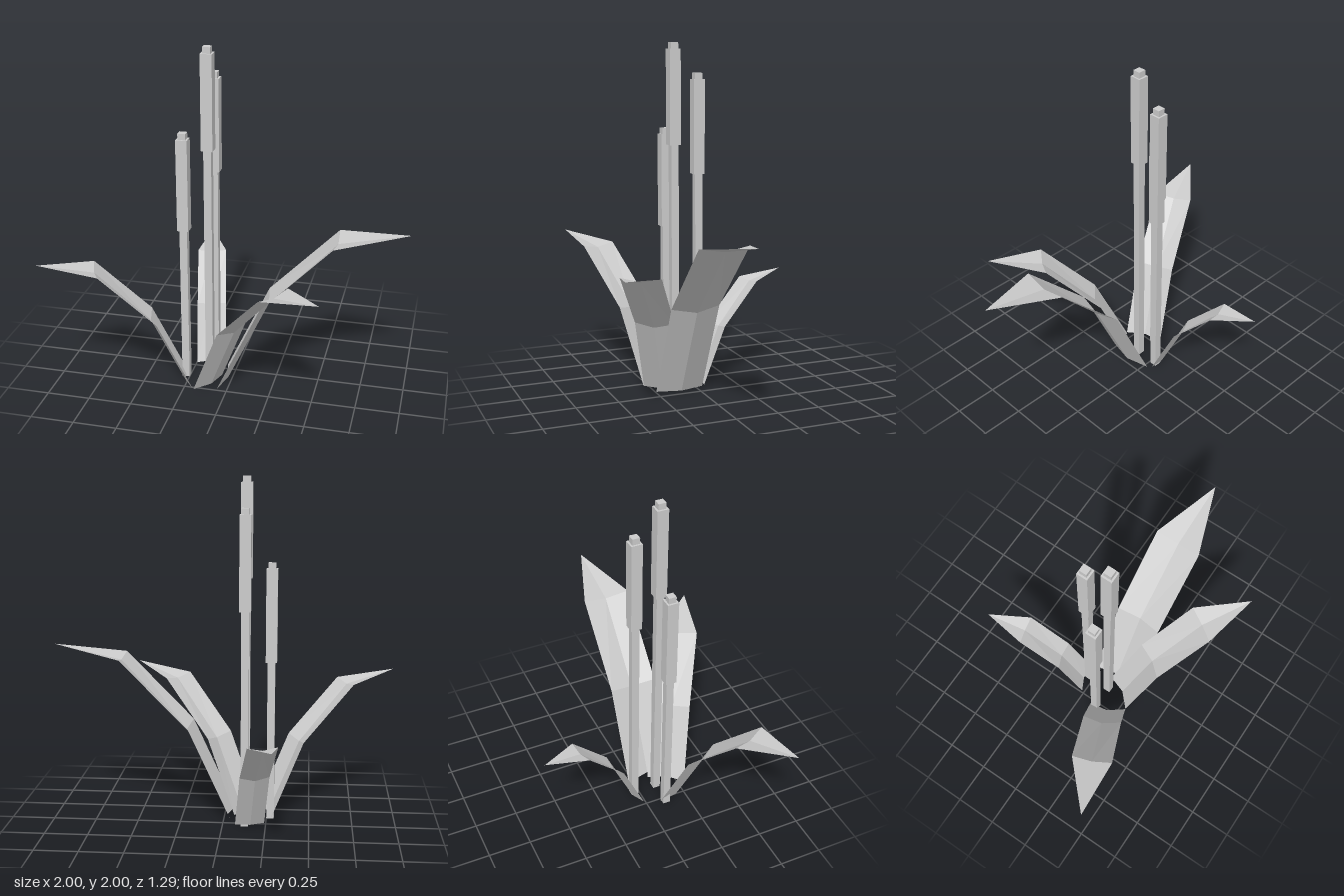
import * as THREE from 'three';

const stalkMaterial = new THREE.MeshStandardMaterial({ color: 0xcccccc, flatShading: true });
const leafMaterial = new THREE.MeshStandardMaterial({
  color: 0xcccccc, flatShading: true, side: THREE.DoubleSide,
});

// Folded leaf growing along +x: creased strip of three stations, ending in a point
function leafGeometry() {
  const half = 0.143;
  // [edge x, edge y, crease x, crease y]
  const stations = [
    [-0.035, 0, 0, 0],
    [0.215, 0.545, 0.24, 0.52],
    [0.612, 0.953, 0.622, 0.93],
  ];
  const tip = [1.015, 1.018, 0];
  const rows = stations.map(([ex, ey, cx, cy]) => [[ex, ey, -half], [cx, cy, 0], [ex, ey, half]]);
  const positions = [];
  const triangle = (...points) => points.forEach((p) => positions.push(...p));
  for (let side = 0; side < 2; side++) {
    for (let i = 0; i < rows.length - 1; i++) {
      const a = rows[i][side], b = rows[i][side + 1];
      const c = rows[i + 1][side + 1], d = rows[i + 1][side];
      triangle(a, b, c);
      triangle(a, c, d);
    }
    triangle(rows[2][side], rows[2][side + 1], tip);
  }
  const geometry = new THREE.BufferGeometry();
  geometry.setAttribute('position', new THREE.Float32BufferAttribute(positions, 3));
  geometry.computeVertexNormals();
  return geometry;
}

// Square stalk with a thicker seed head and a small tip
function createStalk(x, z, top) {
  const stalk = new THREE.Group();
  stalk.name = 'reedStalk';
  const headTop = top - 0.035;
  const headBottom = headTop - 0.537;
  const parts = [
    ['stem', 0.044, 0, headBottom],
    ['seedHead', 0.065, headBottom, headTop],
    ['headTip', 0.044, headTop, top],
  ];
  for (const [name, width, y0, y1] of parts) {
    const mesh = new THREE.Mesh(new THREE.BoxGeometry(width, y1 - y0, width), stalkMaterial);
    mesh.name = name;
    mesh.position.y = (y0 + y1) / 2;
    stalk.add(mesh);
  }
  stalk.position.set(x, 0, z);
  return stalk;
}

export function createModel() {
  const model = new THREE.Group();
  model.name = 'reedPlant';

  // Stalks: x, z, height
  for (const [x, z, top] of [[-0.128, 0.115, 2], [-0.128, -0.03, 1.83], [-0.272, 0.115, 1.515]]) {
    model.add(createStalk(x, z, top));
  }

  // Leaves: name, base x, base z, direction x, direction z, scale
  const geometry = leafGeometry();
  const leaves = [
    ['largeLeaf', -0.02, 0.113, 1, 0, 1],
    ['frontLeaf', -0.1, 0.205, 0.84, 0.543, 0.8],
    ['rightLeaf', -0.26, 0.194, -0.915, 0.403, 0.8],
    ['backLeaf', -0.163, -0.053, -0.226, -0.974, 0.6],
  ];
  for (const [name, x, z, dx, dz, scale] of leaves) {
    const leaf = new THREE.Mesh(geometry, leafMaterial);
    leaf.name = name;
    leaf.position.set(x, 0.012, z);
    leaf.rotation.y = Math.atan2(-dz, dx);
    leaf.scale.setScalar(scale);
    model.add(leaf);
  }
  return model;
}
